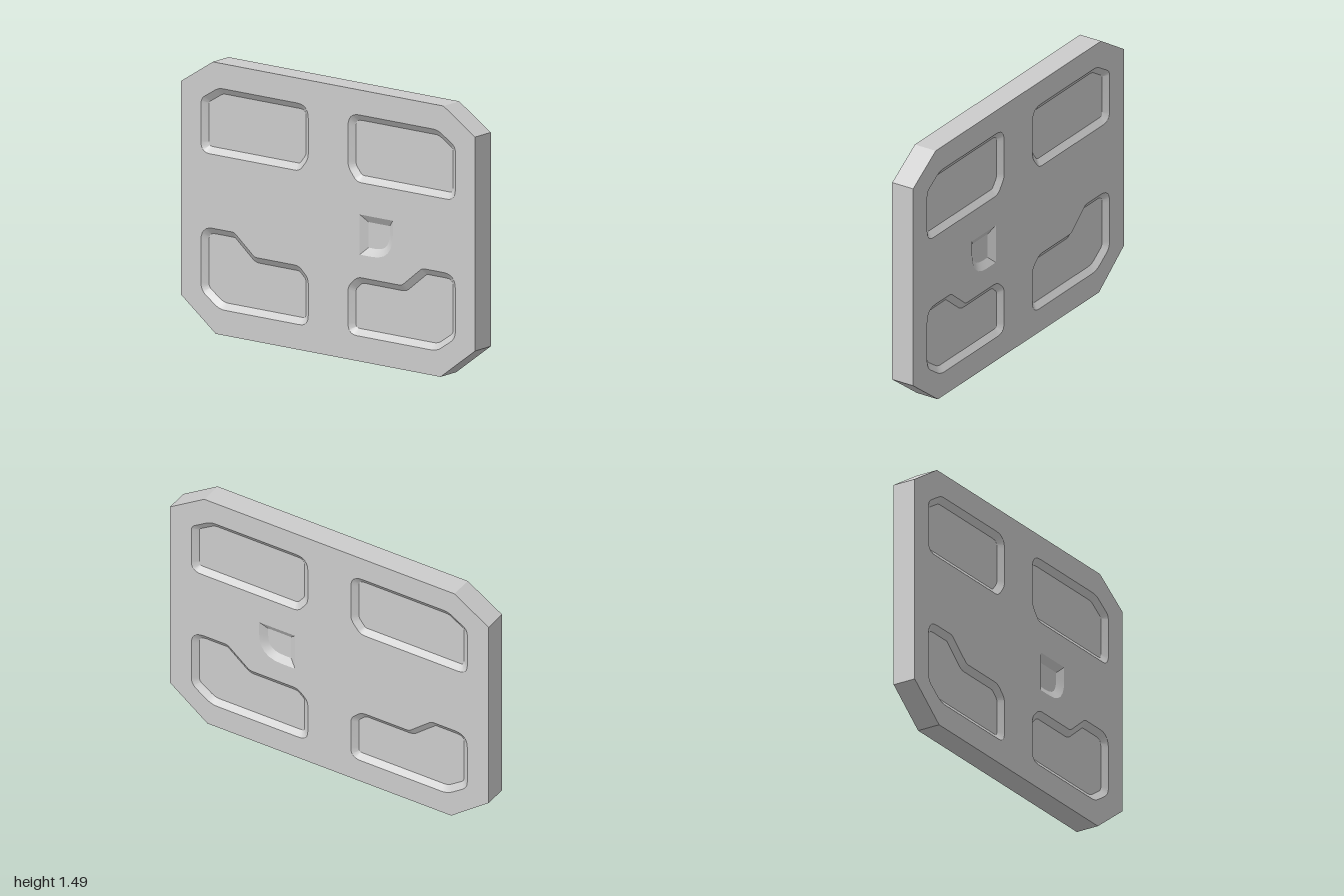
import * as THREE from 'three';
import { toCreasedNormals } from 'three/addons/utils/BufferGeometryUtils.js';

const HALF = 0.067;   // half the slab thickness
const DEPTH = 0.025;  // depth of the recesses

// Profiles as [z, y, corner cut]
const OUTLINE = [
  [0.765, 0, 0], [1, 0.178, 0], [1, 1.35, 0], [0.785, 1.487, 0],
  [-0.785, 1.487, 0], [-1, 1.35, 0], [-1, 0.178, 0], [-0.765, 0, 0],
];
const UPPER_PANEL = [
  [0.866, 0.98, 0.06], [0.866, 1.275, 0.03], [0.745, 1.35, 0.03],
  [0.135, 1.35, 0.075], [0.135, 1.055, 0.03], [0.195, 0.98, 0.03],
];
const LOWER_PANEL = [
  [0.866, 0.225, 0.04], [0.866, 0.575, 0.08], [0.64, 0.575, 0.015],
  [0.5, 0.46, 0.015], [0.2, 0.46, 0.03], [0.135, 0.4, 0.03],
  [0.135, 0.138, 0.06], [0.74, 0.138, 0.04],
];
const HANDLE = [
  [0.44, 0.805, 0], [0.215, 0.805, 0], [0.215, 0.585, 0], [0.44, 0.585, 0.14],
];

const mirror = (profile) => profile.map(([z, y, r]) => [-z, y, r]);

// Counter-clockwise loop with rounded corners, as seen from the given side
function contour(profile, side) {
  const pts = profile.map(([z, y]) => new THREE.Vector2(-side * z, y));
  const n = pts.length;
  const loop = [];
  pts.forEach((p, i) => {
    const cut = profile[i][2];
    if (!cut) return loop.push(p);
    const toward = (q) => p.clone().add(q.clone().sub(p).setLength(cut));
    const curve = new THREE.QuadraticBezierCurve(
      toward(pts[(i + n - 1) % n]), p, toward(pts[(i + 1) % n]));
    loop.push(...curve.getPoints(6));
  });
  return THREE.ShapeUtils.isClockWise(loop) ? loop.reverse() : loop;
}

// Mitred inward offset of a counter-clockwise loop
function inset(loop, d) {
  const n = loop.length;
  const normal = (a, b) => new THREE.Vector2(a.y - b.y, b.x - a.x).normalize();
  return loop.map((p, i) => {
    const a = normal(loop[(i + n - 1) % n], p);
    const b = normal(p, loop[(i + 1) % n]);
    return p.clone().addScaledVector(a.clone().add(b), d / (1 + a.dot(b)));
  });
}

// Band of quads joining two loops at different heights
function band(a, za, b, zb) {
  const pos = [];
  a.forEach((p, i) => {
    const j = (i + 1) % a.length;
    const A = [p.x, p.y, za], B = [a[j].x, a[j].y, za];
    const C = [b[j].x, b[j].y, zb], D = [b[i].x, b[i].y, zb];
    pos.push(...A, ...B, ...C, ...A, ...C, ...D);
  });
  const geo = new THREE.BufferGeometry();
  geo.setAttribute('position', new THREE.Float32BufferAttribute(pos, 3));
  geo.computeVertexNormals();
  return toCreasedNormals(geo, 0.5);
}

export function createModel() {
  const material = new THREE.MeshStandardMaterial({ color: 0xcccccc });
  const model = new THREE.Group();
  model.name = 'doorSlab';

  const add = (parent, name, geometry) => {
    const mesh = new THREE.Mesh(geometry, material);
    mesh.name = name;
    parent.add(mesh);
  };

  // Outer edge of the slab
  const edge = contour(OUTLINE, 1);
  const rim = new THREE.Group();
  rim.name = 'rim';
  rim.rotation.y = Math.PI / 2;
  add(rim, 'rimWall', band(edge, -HALF, edge, HALF));
  model.add(rim);

  const recesses = [
    ['upperFrontPanel', UPPER_PANEL, 0.035],
    ['upperBackPanel', mirror(UPPER_PANEL), 0.035],
    ['lowerFrontPanel', LOWER_PANEL, 0.035],
    ['lowerBackPanel', mirror(LOWER_PANEL), 0.035],
    ['handleRecess', HANDLE, 0.04],
  ];

  // Both broad faces carry the same bevelled recesses
  for (const side of [1, -1]) {
    const face = new THREE.Group();
    face.name = side > 0 ? 'leftFace' : 'rightFace';
    face.rotation.y = side * Math.PI / 2;
    const skin = new THREE.Shape(contour(OUTLINE, side));
    for (const [name, profile, width] of recesses) {
      const outer = contour(profile, side);
      const inner = inset(outer, width);
      skin.holes.push(new THREE.Path(outer));
      add(face, name + 'Bevel', band(outer, HALF, inner, HALF - DEPTH));
      add(face, name + 'Floor',
        new THREE.ShapeGeometry(new THREE.Shape(inner)).translate(0, 0, HALF - DEPTH));
    }
    add(face, 'faceSkin', new THREE.ShapeGeometry(skin).translate(0, 0, HALF));
    model.add(face);
  }
  return model;
}
